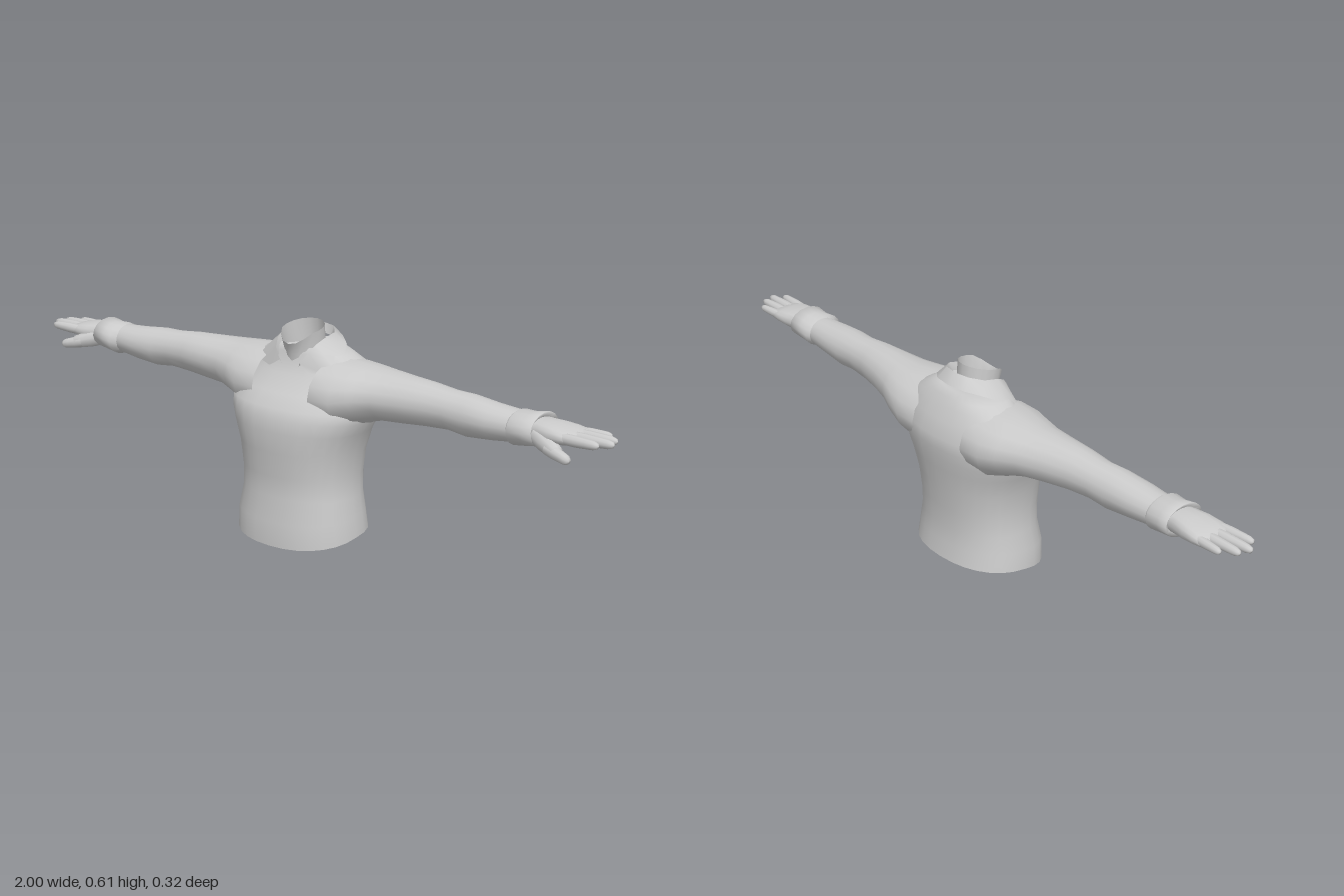
import * as THREE from 'three';

const material = new THREE.MeshStandardMaterial({ color: 0xcccccc, side: THREE.DoubleSide });

function addMesh(parent, name, geometry) {
  const mesh = new THREE.Mesh(geometry, material);
  mesh.name = name;
  parent.add(mesh);
  return mesh;
}

// Skin a list of equal-length cross-sections
function loft(rings, closed = true) {
  const n = rings[0].length, index = [];
  for (let i = 0; i < rings.length - 1; i++) {
    for (let j = 0; j < (closed ? n : n - 1); j++) {
      const k = (j + 1) % n;
      const a = i * n + j, b = i * n + k, c = a + n, d = b + n;
      index.push(a, c, b, b, c, d);
    }
  }
  const geometry = new THREE.BufferGeometry().setFromPoints(rings.flat());
  geometry.setIndex(index);
  geometry.computeVertexNormals();
  return geometry;
}

// Rounded oval outline as [u, v] pairs in the range -1..1
function oval(count, power = 2) {
  return Array.from({ length: count }, (_, i) => {
    const t = (i / count) * Math.PI * 2;
    const round = (v) => Math.sign(v) * Math.abs(v) ** (2 / power);
    return [round(Math.cos(t)), round(Math.sin(t))];
  });
}

const point = (x, y, z) => new THREE.Vector3(x, y, z);

// Sections across x: [x, top, bottom, front, back]; side -1 mirrors them
function limb(sections, side, power = 2) {
  return loft(sections.map(([x, top, bottom, front, back]) => {
    const ring = oval(16, power).map(([u, v]) => point(side * x,
      (top + bottom) / 2 + u * (top - bottom) / 2,
      (front + back) / 2 - v * (front - back) / 2));
    return side < 0 ? ring.reverse() : ring;
  }));
}

// Tapered digit with a rounded tip
function addDigit(parent, name, from, to, radius) {
  const axis = to.clone().sub(from), length = axis.length();
  const profile = [[1, 0], [1.02, 0.35], [0.9, 0.65], [0.8, 0.86], [0.5, 0.97], [0, 1]]
    .map(([r, h]) => new THREE.Vector2(r * radius, h * length));
  const mesh = addMesh(parent, name, new THREE.LatheGeometry(profile, 10));
  mesh.position.copy(from);
  mesh.quaternion.setFromUnitVectors(point(0, 1, 0), axis.normalize());
}

function addTorso(parent) {
  // [height, half width, front, back]
  const sections = [
    [0, 0.195, 0.157, -0.14], [0.07, 0.19, 0.157, -0.133], [0.14, 0.18, 0.143, -0.128],
    [0.2, 0.177, 0.147, -0.132], [0.27, 0.186, 0.153, -0.139], [0.33, 0.205, 0.159, -0.149],
    [0.365, 0.223, 0.152, -0.154], [0.395, 0.228, 0.144, -0.157], [0.43, 0.22, 0.112, -0.158],
    [0.475, 0.202, 0.072, -0.14], [0.51, 0.172, 0.056, -0.124], [0.532, 0.13, 0.05, -0.11],
    [0.55, 0.085, 0.044, -0.098], [0.525, 0.001, 0.001, -0.001],
  ];
  const rings = sections.map(([y, w, front, back], i) => oval(28, 2.25).map(([u, v]) => {
    const z = (front + back) / 2 + v * (front - back) / 2;
    // The hem rises toward the sides and back
    const hem = z > 0 ? 0.03 * (1 - z / 0.157) : 0.03 - z * 0.075;
    return point(u * w, i === 0 ? hem : i === 1 ? y + hem * 0.5 : y, z);
  }));
  addMesh(parent, 'torso', loft(rings));
  const centre = rings[0].map(() => point(0, 0.025, 0));
  addMesh(parent, 'torsoBase', loft([centre, rings[0]]));
}

function addNeck(parent) {
  const levels = [[0.47, 0.058, 0.056, -0.062], [0.53, 0.056, 0.056, -0.06], [0.6, 0.06, 0.07, -0.052]];
  addMesh(parent, 'neck', loft(levels.map(([y, w, front, back], i) => oval(16).map(([u, v]) => {
    const z = (front + back) / 2 + v * (front - back) / 2;
    // The rim is lowest at the throat
    const rim = z > 0.04 ? 0.59 - (z - 0.04) : 0.61 - (z + 0.05) * 0.22;
    return point(u * w, i === 2 ? rim : y, z);
  }))));
}

function addCollar(parent) {
  const mirror = (half) => [
    ...half.map(([x, y, z]) => point(x, y, z)),
    ...half.slice(0, -1).reverse().map(([x, y, z]) => point(-x, y, z)),
  ];
  // From the front edge of one wing round to the back of the neck
  const stand = mirror([[0.03, 0.5, 0.062], [0.05, 0.515, 0.055], [0.06, 0.535, 0.035],
    [0.066, 0.55, 0.01], [0.066, 0.562, -0.03], [0.04, 0.568, -0.06], [0, 0.57, -0.068]]);
  const fold = mirror([[0.035, 0.51, 0.066], [0.058, 0.54, 0.056], [0.068, 0.562, 0.036],
    [0.074, 0.575, 0.008], [0.074, 0.585, -0.038], [0.045, 0.593, -0.07], [0, 0.595, -0.08]]);
  const edge = mirror([[0.073, 0.488, 0.066], [0.11, 0.492, 0.052], [0.148, 0.496, 0.034],
    [0.128, 0.53, -0.012], [0.1, 0.552, -0.06], [0.058, 0.563, -0.094], [0, 0.565, -0.104]]);
  addMesh(parent, 'collarStand', loft([fold, stand], false));
  addMesh(parent, 'collarFold', loft([edge, fold], false));
}

function addArm(parent, side) {
  const arm = new THREE.Group();
  arm.name = side > 0 ? 'leftArm' : 'rightArm';
  parent.add(arm);

  addMesh(arm, 'sleeve', limb([
    [0.1, 0.525, 0.33, 0.11, -0.15], [0.17, 0.523, 0.335, 0.108, -0.15],
    [0.225, 0.518, 0.362, 0.088, -0.138], [0.28, 0.515, 0.378, 0.068, -0.115],
    [0.35, 0.513, 0.384, 0.058, -0.093], [0.43, 0.51, 0.392, 0.05, -0.076],
    [0.5, 0.503, 0.396, 0.044, -0.067], [0.56, 0.503, 0.39, 0.05, -0.066],
    [0.64, 0.495, 0.398, 0.052, -0.06], [0.74, 0.488, 0.41, 0.042, -0.052],
  ], side));

  addMesh(arm, 'cuff', limb([
    [0.7, 0.486, 0.412, 0.042, -0.05], [0.715, 0.495, 0.402, 0.064, -0.064],
    [0.75, 0.494, 0.406, 0.058, -0.062], [0.787, 0.5, 0.412, 0.06, -0.067],
    [0.775, 0.482, 0.425, 0.04, -0.05],
  ], side));

  addMesh(arm, 'palm', limb([
    [0.73, 0.48, 0.425, 0.034, -0.044], [0.79, 0.485, 0.425, 0.044, -0.05],
    [0.83, 0.482, 0.428, 0.054, -0.058], [0.865, 0.477, 0.434, 0.055, -0.061],
    [0.895, 0.47, 0.438, 0.05, -0.058], [0.905, 0.46, 0.446, 0.04, -0.05],
    [0.906, 0.453, 0.452, 0.001, -0.001],
  ], side, 2.5));

  // Four fingers: [name, z at knuckle, z at tip, tip x, radius]
  const fingers = [['indexFinger', 0.038, 0.044, 0.975, 0.0145], ['middleFinger', 0.01, 0.012, 1, 0.015],
    ['ringFinger', -0.018, -0.02, 0.99, 0.0145], ['littleFinger', -0.044, -0.052, 0.955, 0.0125]];
  for (const [name, z0, z1, tip, radius] of fingers) {
    addDigit(arm, name, point(side * 0.87, 0.456, z0), point(side * tip, 0.458, z1), radius);
  }
  addDigit(arm, 'thumbBase', point(side * 0.785, 0.445, 0.025), point(side * 0.875, 0.42, 0.064), 0.024);
  addDigit(arm, 'thumb', point(side * 0.835, 0.428, 0.055), point(side * 0.91, 0.412, 0.072), 0.0165);
}

export function createModel() {
  const model = new THREE.Group();
  model.name = 'upperBody';
  addTorso(model);
  addNeck(model);
  addCollar(model);
  for (const side of [1, -1]) addArm(model, side);
  return model;
}
